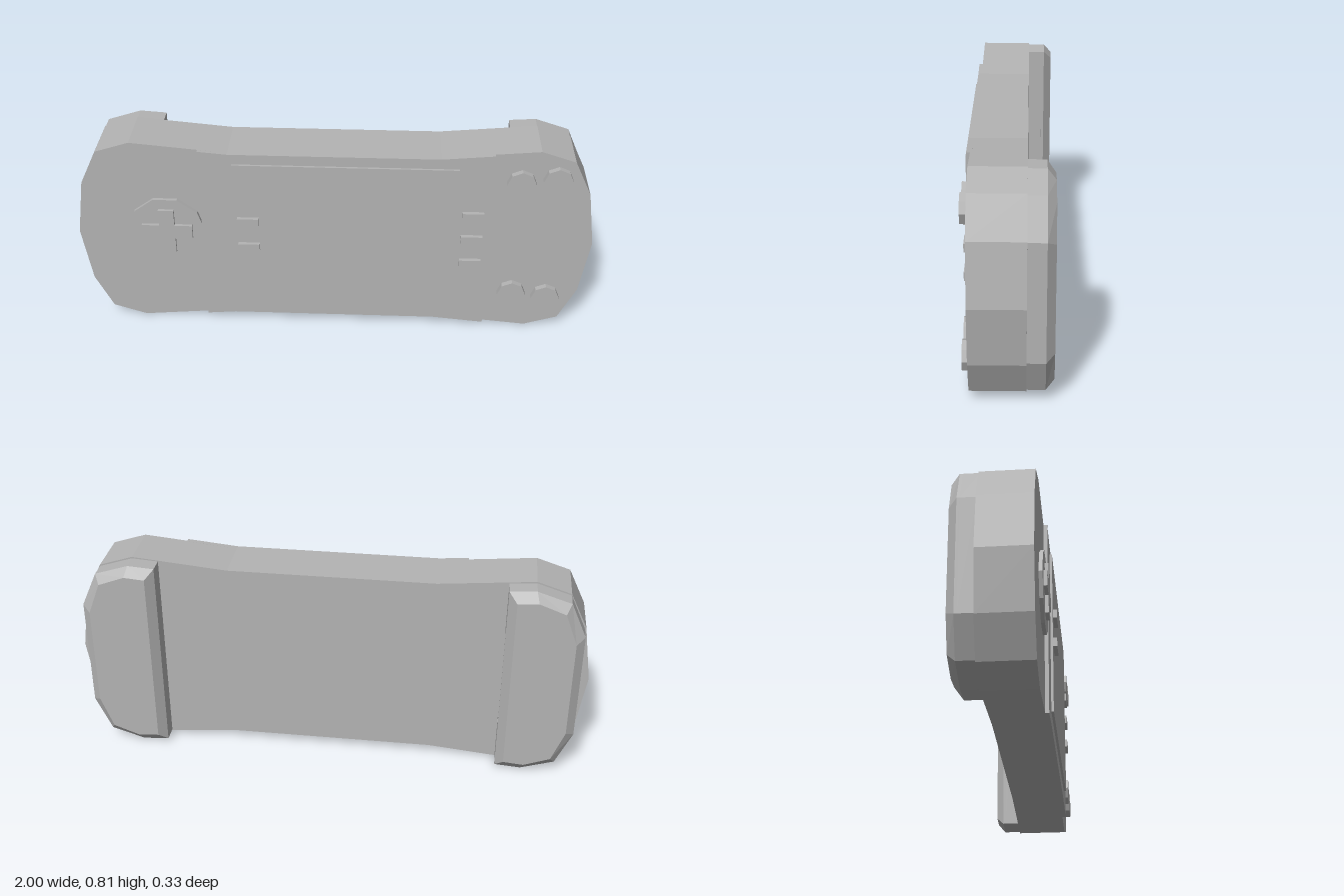
import * as THREE from 'three';

const MID = 0.405; // height of the horizontal symmetry line

export function createModel() {
  const model = new THREE.Group();
  model.name = 'handheldConsole';
  const grey = new THREE.MeshStandardMaterial({ color: 0xb3b3b3 });
  grey.name = 'plain grey';

  const add = (name, geometry) => {
    const mesh = new THREE.Mesh(geometry, grey);
    mesh.name = name;
    model.add(mesh);
    return mesh;
  };
  // Flat slab between two depths, from an outline
  const slab = (points, z0, z1) => {
    const shape = new THREE.Shape(points.map(([x, y]) => new THREE.Vector2(x, y)));
    const g = new THREE.ExtrudeGeometry(shape, { depth: z1 - z0, bevelEnabled: false });
    return g.translate(0, 0, z0);
  };
  // Completes an upper outline with its mirror image below the middle line
  const mirrorY = (upper) => [
    ...upper,
    ...upper.filter(([, y]) => y !== MID).reverse().map(([x, y]) => [x, 2 * MID - y]),
  ];
  const box = (name, x0, x1, y0, y1, z0, z1) => add(name,
    new THREE.BoxGeometry(x1 - x0, y1 - y0, z1 - z0)
      .translate((x0 + x1) / 2, (y0 + y1) / 2, (z0 + z1) / 2));
  const polygon = (cx, cy, r, n) => Array.from({ length: n }, (_, i) => {
    const a = (i / n) * Math.PI * 2;
    return [cx + r * Math.cos(a), cy + r * Math.sin(a)];
  });

  // Main body with flared, faceted ends
  const end = [[0.4, 0.776], [0.77, 0.81], [0.9, 0.768], [0.967, 0.629], [1, MID]];
  const lowerEnd = end.slice(0, -1).reverse().map(([x, y]) => [x, 2 * MID - y]);
  const half = [...end, ...lowerEnd];
  add('body', slab([...half, ...half.map(([x, y]) => [-x, y]).reverse()], -0.07, 0.127));

  // Raised centre panel and screen
  add('centrePanel', slab(
    mirrorY([[-0.512, 0.786], [-0.4, 0.776], [0.4, 0.776], [0.6, 0.795]]), 0.12, 0.141));
  box('screen', -0.385, 0.47, 0.085, 0.735, 0.13, 0.15);

  // Direction pad: ten-sided base and cross
  add('padBase', slab(polygon(-0.65, 0.423, 0.151, 10), 0.12, 0.1405));
  const a = 0.03, b = 0.098;
  add('padCross', slab([[a, a], [a, b], [-a, b], [-a, a], [-b, a], [-b, -a], [-a, -a],
    [-a, -b], [a, -b], [a, -a], [b, -a], [b, a]].map(([x, y]) => [x - 0.648, y + 0.427]),
  0.13, 0.153));

  // Eight-sided action buttons
  for (const [x, y] of [[0.705, 0.675], [0.84, 0.692], [0.705, 0.164], [0.84, 0.149]]) {
    add('actionButton', slab(polygon(x, y, 0.056, 8), 0.12, 0.15));
  }

  // Small menu buttons on both sides of the screen
  for (const y of [0.486, 0.369]) {
    box('leftMenuButton', -0.372, -0.288, y - 0.017, y + 0.017, 0.13, 0.165);
  }
  for (const y of [0.53, 0.423, 0.312]) {
    box('rightMenuButton', 0.49, 0.573, y - 0.017, y + 0.017, 0.13, 0.157);
  }

  // Rear grips with a chamfered back; the one at -x has a slot in its inner side
  const outer = [[0.668, 0.797], [0.77, 0.804], [0.9, 0.762], [0.962, 0.624]];
  for (const side of [1, -1]) {
    const outline = mirrorY(outer).map(([x, y]) => [x * side, y]);
    const notch = side < 0
      ? [[-0.668, 0.2], [-0.705, 0.2], [-0.705, 0.6], [-0.668, 0.6]] : [];
    add('gripBase', slab([...outline, ...notch], -0.125, -0.065));
    add('gripRim', slab(outline, -0.135, -0.125));

    const cap = slab(outline, -0.165, -0.135);
    const p = cap.attributes.position;
    for (let i = 0; i < p.count; i++) {
      if (p.getZ(i) < -0.15) {
        p.setX(i, side * 0.815 + (p.getX(i) - side * 0.815) * 0.78);
        p.setY(i, MID + (p.getY(i) - MID) * 0.91);
      }
    }
    cap.computeVertexNormals();
    add('gripBack', cap);
  }
  return model;
}
